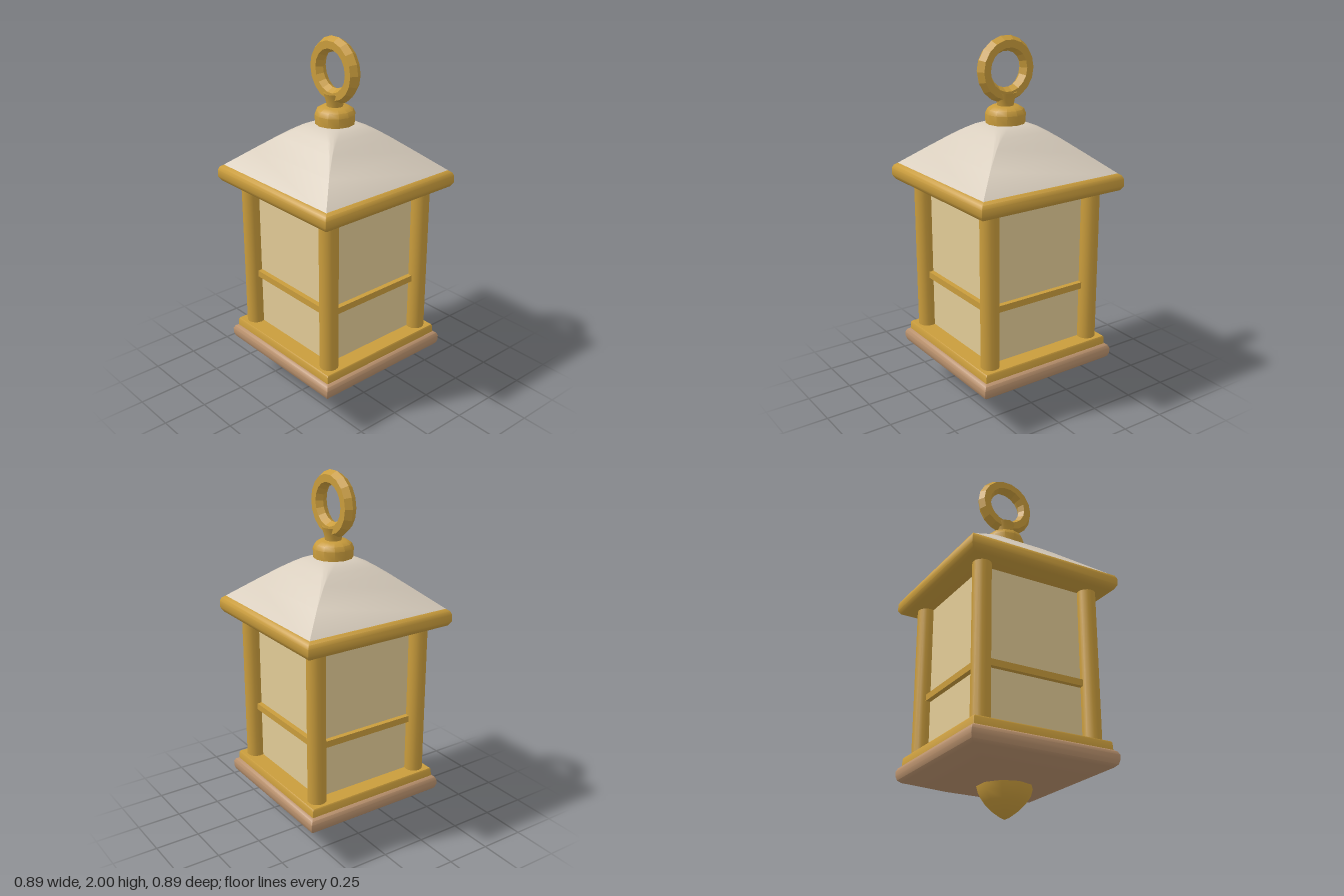
import * as THREE from 'three';
import { toCreasedNormals } from 'three/addons/utils/BufferGeometryUtils.js';

const gold = new THREE.MeshStandardMaterial({ name: 'gold metal', color: 0xc99c3c });
const stone = new THREE.MeshStandardMaterial({ name: 'pale roof', color: 0xd8cdbd });
const glass = new THREE.MeshStandardMaterial({ name: 'cream glass', color: 0xe2cb96 });
const wood = new THREE.MeshStandardMaterial({ name: 'brown base', color: 0xb8906c });

// Closed solid from rounded-square rings: [half width, y, corner radius]
function squareLoft(rings, crease = 0.6) {
  const steps = 5;
  const count = 4 * (steps + 1);
  const all = [[0, rings[0][1], 0], ...rings, [0, rings[rings.length - 1][1], 0]];
  const positions = [];
  const index = [];
  for (const [half, y, r = 0.004] of all) {
    for (let k = 0; k < 4; k++) {
      const cx = (half - r) * (k === 0 || k === 3 ? 1 : -1);
      const cz = (half - r) * (k < 2 ? 1 : -1);
      for (let s = 0; s <= steps; s++) {
        const a = (k + s / steps) * Math.PI / 2;
        positions.push(cx + r * Math.cos(a), y, cz + r * Math.sin(a));
      }
    }
  }
  for (let i = 0; i < all.length - 1; i++) {
    for (let j = 0; j < count; j++) {
      const a = i * count + j;
      const b = i * count + (j + 1) % count;
      index.push(a, a + count, b + count, a, b + count, b);
    }
  }
  const geometry = new THREE.BufferGeometry();
  geometry.setAttribute('position', new THREE.Float32BufferAttribute(positions, 3));
  geometry.setIndex(index);
  return toCreasedNormals(geometry, crease);
}

function lathe(points, sides, crease) {
  const profile = points.map(([r, y]) => new THREE.Vector2(r, y));
  return toCreasedNormals(new THREE.LatheGeometry(profile, sides), crease);
}

export function createModel() {
  const model = new THREE.Group();
  model.name = 'lantern';
  const add = (name, geometry, material, parent = model) => {
    const mesh = new THREE.Mesh(geometry, material);
    mesh.name = name;
    parent.add(mesh);
    return mesh;
  };

  // Base with sloping underside and ledge
  add('base', squareLoft([
    [0.22, 0.162], [0.395, 0.226], [0.411, 0.24], [0.418, 0.262],
    [0.418, 0.288], [0.41, 0.305], [0.395, 0.315],
  ]), wood);
  add('baseLedge', squareLoft([[0.395, 0.313], [0.393, 0.352], [0.388, 0.36]]), gold);

  // Drop finial below the base
  add('finial', lathe([
    [0, 0], [0.025, 0.012], [0.065, 0.042], [0.108, 0.084], [0.136, 0.125], [0.147, 0.166],
  ], 10, 0.75), gold);

  // Glass box reaching into the posts
  const panes = add('glassPanes', new THREE.BoxGeometry(0.6, 0.86, 0.6), glass);
  panes.position.y = 0.785;

  // Corner posts and cross bars, one of each per side
  for (let i = 0; i < 4; i++) {
    const side = new THREE.Group();
    side.name = 'frameSide' + (i + 1);
    side.rotation.y = i * Math.PI / 2;
    model.add(side);
    add('post', new THREE.CylinderGeometry(0.05, 0.05, 0.87, 16), gold, side)
      .position.set(0.321, 0.785, 0.321);
    add('crossBar', new THREE.BoxGeometry(0.6, 0.036, 0.04), gold, side)
      .position.set(0, 0.672, 0.308);
  }

  // Roof trim and roof, whose hips soften only near the top
  add('roofTrim', squareLoft([
    [0.412, 1.204], [0.432, 1.212], [0.445, 1.234], [0.445, 1.272], [0.437, 1.29], [0.42, 1.302],
  ], 0.8), gold);
  add('roof', squareLoft([
    [0.429, 1.294, 0], [0.3, 1.4, 0], [0.21, 1.475, 0.012], [0.165, 1.511, 0.03],
    [0.135, 1.532, 0.045], [0.105, 1.545, 0.05], [0.07, 1.552, 0.05],
  ], 0.7), stone);

  // Cap with flared collar
  add('cap', lathe([
    [0, 1.55], [0.105, 1.55], [0.107, 1.6], [0.096, 1.624], [0.07, 1.64], [0, 1.642],
  ], 12, 0.65), gold);
  add('collar', lathe([
    [0, 1.635], [0.042, 1.635], [0.047, 1.665], [0.06, 1.71], [0.045, 1.706], [0, 1.675],
  ], 12, 0.6), gold);

  // Hanging ring with a six-sided section
  const ring = toCreasedNormals(new THREE.TorusGeometry(0.133, 0.04, 6, 18), 0.3);
  add('hangingRing', ring, gold).position.y = 1.827;

  return model;
}
